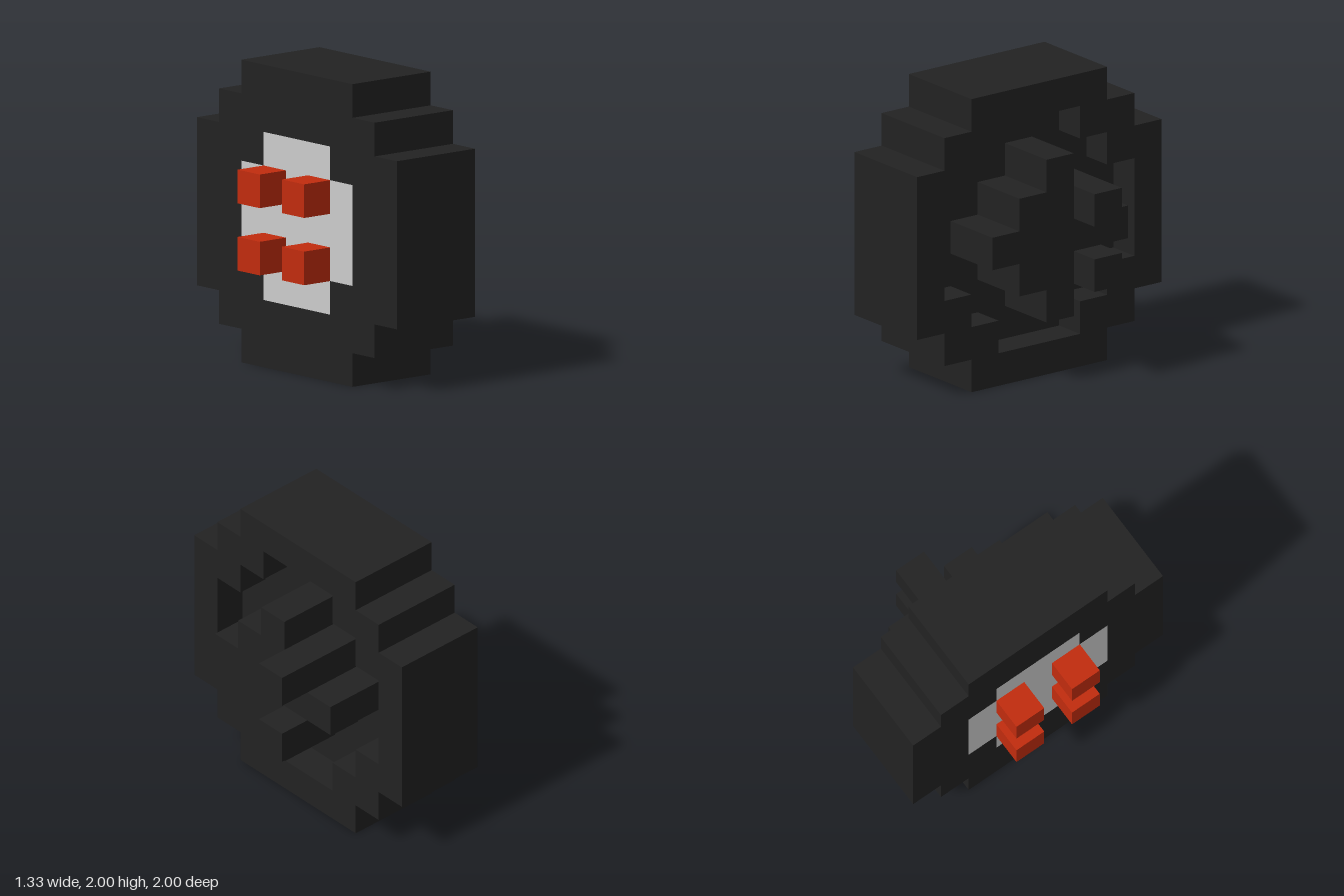
import * as THREE from 'three';

const U = 2 / 9; // one block

const rubber = new THREE.MeshStandardMaterial({ color: 0x222222 });
rubber.name = 'black rubber';
const steel = new THREE.MeshStandardMaterial({ color: 0xcccccc });
steel.name = 'light grey metal';
const red = new THREE.MeshStandardMaterial({ color: 0xc22c0e });
red.name = 'red';

// Blocks per row, bottom to top
const TYRE = [5, 7, 9, 9, 9, 9, 9, 7, 5];
const RECESS = [3, 5, 7, 7, 7, 5, 3];
const PLATE = [3, 5, 5, 5, 3];
const HUB = [1, 3, 5, 3, 1];

// Stepped outline of centred rows, up the right side and down the left
function outline(rows) {
  const right = [];
  rows.forEach((n, i) => {
    const y = (i - rows.length / 2) * U;
    // skip corners between rows of equal width
    if (rows[i - 1] !== n) right.push([n * U / 2, y]);
    if (rows[i + 1] !== n) right.push([n * U / 2, y + U]);
  });
  const left = right.map(([x, y]) => [-x, y]).reverse();
  return [...right, ...left].map(([x, y]) => new THREE.Vector2(x, y));
}

// Slab across the axle from block layer x0 to x1, with an optional stepped hole
function slab(name, rows, x0, x1, material, holeRows) {
  const shape = new THREE.Shape(outline(rows));
  if (holeRows) shape.holes.push(new THREE.Path(outline(holeRows).reverse()));
  const geometry = new THREE.ExtrudeGeometry(shape, { depth: (x1 - x0) * U, bevelEnabled: false });
  geometry.rotateY(Math.PI / 2);
  const mesh = new THREE.Mesh(geometry, material);
  mesh.name = name;
  mesh.position.set(x0 * U, 1, 0);
  return mesh;
}

// Single block centred at block coordinates
function block(name, x, y, z, material) {
  const mesh = new THREE.Mesh(new THREE.BoxGeometry(U, U, U), material);
  mesh.name = name;
  mesh.position.set(x * U, 1 + y * U, z * U);
  return mesh;
}

export function createModel() {
  const wheel = new THREE.Group();
  wheel.name = 'wheel';

  // Tyre: inner wall around the plate, solid core, outer rim around the recess
  wheel.add(slab('tyreInnerWall', TYRE, -2, -1, rubber, PLATE));
  wheel.add(slab('tyreCore', TYRE, -1, 0, rubber));
  wheel.add(slab('tyreOuterRim', TYRE, 0, 1, rubber, RECESS));

  // Mounting plate flush with the inner wall, and the raised hub
  wheel.add(slab('mountingPlate', PLATE, -2, -1, steel));
  wheel.add(slab('hub', HUB, 0, 2, rubber));

  for (const y of [-1, 1]) {
    // Outer studs on one side of the hub only
    wheel.add(block('hubStud', 2.5, y, -1, rubber));
    // Four bolts on the mounting plate
    for (const z of [-1, 1]) wheel.add(block('bolt', -2.5, y, z, red));
  }
  return wheel;
}
